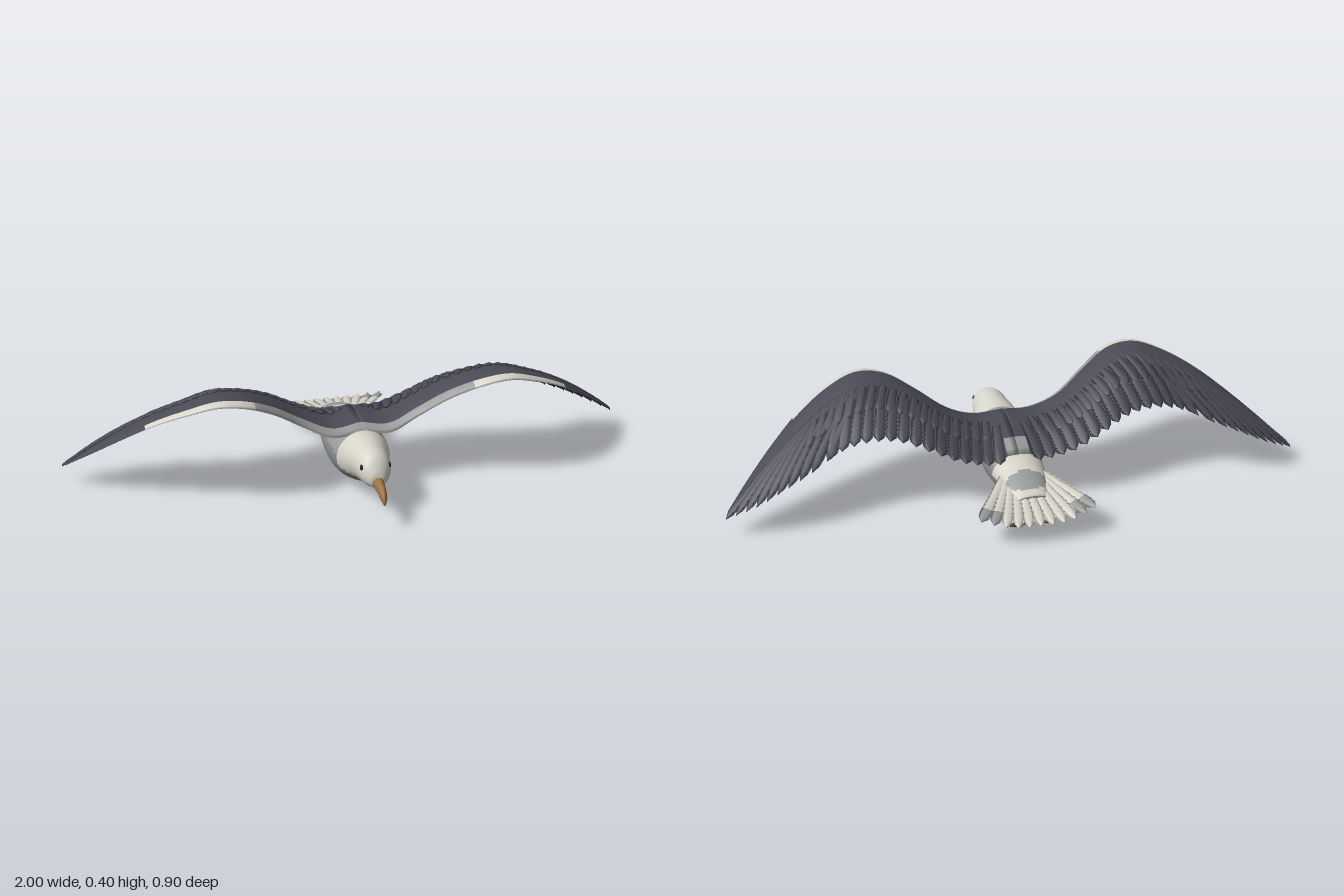
import * as THREE from 'three';

const material = (name, color) => Object.assign(new THREE.MeshStandardMaterial({ color }), { name });
const white = material('white plumage', 0xd6d3c8);
const grey = material('light grey plumage', 0x9a9c9c);
const belly = material('belly grey', 0x888b8d);
const slate = material('slate feathers', 0x4a4a55);
const dark = material('dark underwing', 0x37363d);
const horn = material('beak tan', 0x9a7446);
const brown = material('leg brown', 0x553830);
const black = material('eye black', 0x1c1a1a);

// Smooth cubic interpolation through key values
function interp(xs, ys) {
  const n = xs.length;
  const slope = (i) => {
    const a = Math.max(i - 1, 0), b = Math.min(i + 1, n - 1);
    return (ys[b] - ys[a]) / (xs[b] - xs[a]);
  };
  return (x) => {
    let i = 0;
    while (i < n - 2 && x > xs[i + 1]) i++;
    const h = xs[i + 1] - xs[i], t = THREE.MathUtils.clamp((x - xs[i]) / h, 0, 1);
    const s = t * t * (3 - 2 * t), r = 1 - t;
    return ys[i] * (1 - s) + ys[i + 1] * s + h * (slope(i) * t * r * r - slope(i + 1) * t * t * r);
  };
}

// Closed surface through rings of [x, y, z]; pick(i, j, centre) chooses each face's material
function loft(name, rings, pick) {
  const n = rings[0].length, pos = rings.flat(2), buckets = new Map();
  const at = (i, j) => i * n + (j % n);
  const point = (k) => new THREE.Vector3().fromArray(pos, k * 3);
  const faces = [];
  for (let i = 0; i < rings.length - 1; i++)
    for (let j = 0; j < n; j++) {
      const a = at(i, j), b = at(i, j + 1), c = at(i + 1, j + 1), d = at(i + 1, j);
      const m = pick(i, j, point(a).add(point(b)).add(point(c)).add(point(d)).multiplyScalar(0.25));
      faces.push([a, b, c, m], [a, c, d, m]);
    }
  const last = rings.length - 1;
  for (let j = 1; j < n - 1; j++) {
    faces.push([at(0, 0), at(0, j + 1), at(0, j), pick(0, j, point(0))]);
    faces.push([at(last, 0), at(last, j), at(last, j + 1), pick(last - 1, j, point(at(last, 0)))]);
  }
  // Turn the faces outward using the enclosed volume
  let volume = 0;
  for (const [a, b, c] of faces) volume += point(a).dot(point(b).cross(point(c)));
  for (const [a, b, c, m] of faces) {
    if (!buckets.has(m)) buckets.set(m, []);
    buckets.get(m).push(...(volume > 0 ? [a, b, c] : [a, c, b]));
  }
  const geo = new THREE.BufferGeometry(), index = [], mats = [];
  for (const [m, list] of buckets) {
    geo.addGroup(index.length, list.length, mats.length);
    index.push(...list);
    mats.push(m);
  }
  geo.setAttribute('position', new THREE.Float32BufferAttribute(pos, 3));
  geo.setIndex(index);
  geo.computeVertexNormals();
  const mesh = new THREE.Mesh(geo, mats);
  mesh.name = name;
  return mesh;
}

const ellipse = (z, y, w, h, n) => Array.from({ length: n }, (_, j) => {
  const a = (j / n) * Math.PI * 2;
  return [w * Math.cos(a), y + h * Math.sin(a), z];
});

// Thin rounded feather laid along a height field, from plan point [x, z] to plan point [x, z]
function feather(name, [x0, z0], [x1, z1], width, height, side, top, under, tip = top) {
  const len = Math.hypot(x1 - x0, z1 - z0), px = -(z1 - z0) / len, pz = (x1 - x0) / len;
  const rings = [];
  for (let i = 0; i <= 12; i++) {
    const t = i / 12, round = t > 0.75 ? Math.sqrt(Math.max(1 - ((t - 0.75) / 0.25) ** 2, 0.01)) : 1;
    const w = width * (0.6 + 0.4 * t) * round;
    const p = (k, lift) => {
      const x = x0 + (x1 - x0) * t + px * w * k, z = z0 + (z1 - z0) * t + pz * w * k;
      return [side * x, height(x, z) + lift, z];
    };
    rings.push([p(-1, 0), p(-0.5, 0.003), p(0, 0.006), p(0.5, 0.003), p(1, -0.002), p(0, -0.003)]);
  }
  return loft(name, rings, (i, j) => (j > 3 ? under : i > 8 ? tip : top));
}

// Wing plan and heights by span
const span = [0, 0.1, 0.2, 0.3, 0.4, 0.5, 0.6, 0.7, 0.8, 0.9, 1];
const leadZ = interp(span, [0.13, 0.14, 0.13, 0.165, 0.21, 0.215, 0.185, 0.13, 0.06, -0.02, -0.115]);
const leadY = interp(span, [0.215, 0.205, 0.25, 0.32, 0.375, 0.39, 0.36, 0.31, 0.24, 0.16, 0.075]);
const trailZ = interp(span, [-0.17, -0.165, -0.17, -0.155, -0.12, -0.11, -0.105, -0.135, -0.155, -0.158, -0.13]);
const trailY = interp(span, [0.17, 0.165, 0.19, 0.235, 0.27, 0.28, 0.255, 0.21, 0.165, 0.115, 0.068]);
const thick = interp([0, 0.3, 0.6, 1], [0.02, 0.018, 0.012, 0.003]);
const chord = (x) => leadZ(x) - trailZ(x);
const wingZ = (x, u) => leadZ(x) - chord(x) * u;
function wingY(x, u, sign) {
  const mid = leadY(x) + (trailY(x) - leadY(x)) * u + 0.36 * chord(x) * u * (1 - u);
  return mid + sign * thick(x) * 2.6 * Math.sqrt(u) * Math.max(1 - u, 0.04);
}
const wingTop = (lift) => (x, z) =>
  wingY(x, THREE.MathUtils.clamp((leadZ(x) - z) / chord(x), 0, 1), 1) + lift;

function wing(side) {
  const g = new THREE.Group();
  g.name = side > 0 ? 'leftWing' : 'rightWing';
  const rows = 18, rings = [];
  for (let i = 0; i <= 50; i++) {
    const x = 0.99 * i / 50, end = 0.92 - 0.2 * THREE.MathUtils.smoothstep(x, 0.55, 0.85);
    const ring = [];
    for (let j = 0; j <= rows * 2 - 1; j++) {
      const up = j <= rows, u = end * ((up ? j : rows * 2 - j) / rows) ** 1.5;
      ring.push([side * x, wingY(x, u, up ? 1 : -1), wingZ(x, u)]);
    }
    rings.push(ring);
  }
  g.add(loft('wingArm', rings, (i, j, c) => {
    const x = Math.abs(c.x), u = (leadZ(x) - c.z) / chord(x);
    if (j < rows) {
      if (x < 0.045 && u > 0.7) return grey;
      if (u < 0.09 && x < 0.74) return x < 0.38 ? grey : white;
      return slate;
    }
    if (x > 0.8) return dark;
    return u < 0.13 ? white : u < 0.32 ? grey : dark;
  }));
  // Secondaries along the inner trailing edge
  for (let k = 0; k < 15; k++) {
    const x0 = 0.05 + k * 0.038, x1 = x0 + 0.02 + k * 0.0025;
    g.add(feather('secondaryFeather', [x0, wingZ(x0, 0.5)], [x1, trailZ(x1)], 0.026, wingTop(0.001), side, slate, dark));
  }
  // Primaries fanning to the tip
  for (let k = 0; k < 10; k++) {
    const x0 = 0.5 + k * 0.033, x1 = 0.65 + 0.35 * (k / 9) ** 0.85;
    g.add(feather('primaryFeather', [x0, wingZ(x0, 0.4)], [x1, trailZ(x1)], 0.021, wingTop(0.001), side, slate, dark));
  }
  // Short coverts overlapping the flight feathers
  for (let k = 0; k < 18; k++) {
    const x0 = 0.08 + k * 0.034, x1 = x0 + 0.015 + k * 0.002;
    g.add(feather('covertFeather', [x0, wingZ(x0, 0.4)], [x1, wingZ(x1, 0.72)], 0.022, wingTop(0.003), side, slate, dark));
  }
  return g;
}

function body() {
  const zs = [-0.32, -0.25, -0.18, -0.1, 0, 0.1, 0.18, 0.24, 0.29, 0.33, 0.36];
  const top = interp(zs, [0.12, 0.148, 0.168, 0.185, 0.2, 0.214, 0.224, 0.223, 0.22, 0.2, 0.155]);
  const bottom = interp(zs, [0.095, 0.078, 0.055, 0.028, 0.013, 0.024, 0.05, 0.078, 0.093, 0.1, 0.112]);
  const width = interp(zs, [0.05, 0.07, 0.085, 0.095, 0.1, 0.098, 0.085, 0.068, 0.06, 0.048, 0.022]);
  const rings = [];
  for (let i = 0; i <= 72; i++) {
    const z = -0.32 + 0.68 * i / 72, t = top(z), b = bottom(z);
    rings.push(ellipse(z, (t + b) / 2, width(z), (t - b) / 2, 44));
  }
  return loft('body', rings, (i, j, c) => {
    if (c.z > 0.27 || (c.z > 0.14 && c.y > 0.1)) return white;
    if (c.z < -0.13 && c.y > 0.11)
      return (c.x / 0.08) ** 2 + ((c.z + 0.25) / 0.04) ** 2 < 1 && c.y > 0.125 ? grey : white;
    return c.y > 0.14 ? grey : belly;
  });
}

// Leg trailing behind, with a folded webbed foot
function leg(side) {
  const g = new THREE.Group();
  g.name = side > 0 ? 'leftLeg' : 'rightLeg';
  const V = (x, y, z) => new THREE.Vector3(side * x, y, z);
  const tube = (name, pts, r) => {
    const m = new THREE.Mesh(new THREE.TubeGeometry(new THREE.CatmullRomCurve3(pts), 12, r, 8), brown);
    m.name = name;
    g.add(m);
  };
  tube('shank', [V(0.045, 0.075, -0.12), V(0.047, 0.052, -0.17), V(0.05, 0.03, -0.21), V(0.05, 0.03, -0.25)], 0.011);
  for (const k of [-1, 0, 1])
    tube('toe', [V(0.05, 0.03, -0.24), V(0.05 + k * 0.012, 0.026, -0.28), V(0.05 + k * 0.02, 0.01, -0.325)], 0.007);
  const web = [[-0.23, 0.032, 0.008], [-0.28, 0.025, 0.016], [-0.32, 0.012, 0.021]].map(([z, y, w]) =>
    ellipse(z, y, w, 0.004, 12).map(([x, py, pz]) => [side * (x + 0.05), py, pz]));
  g.add(loft('footWeb', web, () => brown));
  return g;
}

export function createModel() {
  const model = new THREE.Group();
  model.name = 'seabird';
  model.add(body());

  // Hooked beak
  const beak = [[0.34, 0.129, 0.024, 0.022], [0.37, 0.128, 0.018, 0.021], [0.4, 0.125, 0.015, 0.021],
    [0.425, 0.119, 0.013, 0.022], [0.44, 0.111, 0.01, 0.019], [0.45, 0.1, 0.004, 0.01]];
  model.add(loft('beak', beak.map((b) => ellipse(...b, 20)), () => horn));

  // Fanned tail, with grey tips on the outer feathers
  const tailY = (x, z) => 0.131 + (z + 0.2) * 0.22 + 0.5 * x * x;
  for (let k = -5; k <= 5; k++) {
    const a = Math.abs(k), x1 = k * 0.039, z1 = -0.445 + 0.0024 * Math.max(a - 1, 0) ** 2;
    const lift = (x, z) => tailY(x, z) + 0.004 - a * 0.0015;
    model.add(feather('tailFeather', [k * 0.012, -0.18], [x1, z1], 0.024, lift, 1, white, belly, a > 3 ? grey : white));
  }

  for (const side of [1, -1]) {
    model.add(wing(side), leg(side));
    const eye = new THREE.Mesh(new THREE.SphereGeometry(0.01, 16, 12), black);
    eye.name = side > 0 ? 'leftEye' : 'rightEye';
    eye.scale.x = 0.6;
    eye.position.set(side * 0.047, 0.172, 0.318);
    model.add(eye);
  }
  return model;
}
